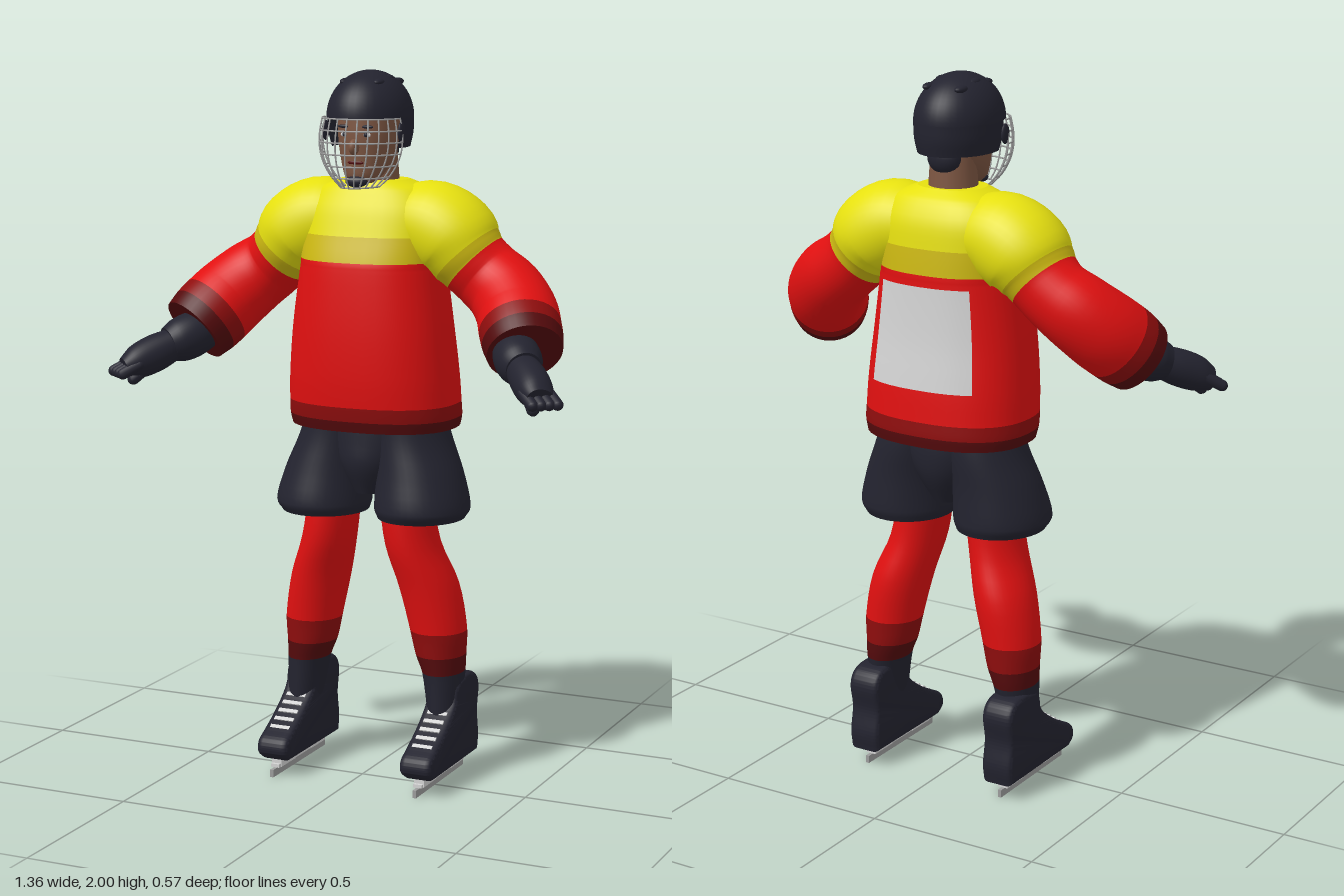
import * as THREE from 'three';
import { mergeVertices, toCreasedNormals } from 'three/addons/utils/BufferGeometryUtils.js';

const V = (x, y, z) => new THREE.Vector3(x, y, z);

function makeMaterials() {
  const colors = {
    red: 0xe01010, darkRed: 0x8e0d0d, maroon: 0x540a0c, yellow: 0xe6e010, gold: 0xcdb912,
    navyBlack: 0x23232f, white: 0xd4d4d4, skin: 0x7d5642, steel: 0x9c9c9c,
  };
  const mats = {};
  for (const [name, color] of Object.entries(colors)) {
    mats[name] = new THREE.MeshStandardMaterial({ color, side: THREE.DoubleSide });
    mats[name].name = name;
  }
  return mats;
}

// Skins elliptical sections [x, y, z, ru, rv]; one material per segment (null leaves it out).
// minSin keeps only the part of each ring towards the back.
function loft(name, sections, segMats, { level = true, power = 2, minSin = -2, caps = true } = {}) {
  const N = 40, S = 4, rows = (sections.length - 1) * S;
  const path = new THREE.CatmullRomCurve3(sections.map(s => V(s[0], s[1], s[2])));
  const size = new THREE.CatmullRomCurve3(sections.map(s => V(s[3], s[4], 0)), false, 'catmullrom', 0.5);
  const pos = [], index = [], geo = new THREE.BufferGeometry(), mats = [];
  const bend = c => Math.sign(c) * Math.abs(c) ** (2 / power);
  for (let i = 0; i <= rows; i++) {
    const c = path.getPoint(i / rows), r = size.getPoint(i / rows);
    const d = level ? V(0, 1, 0) : path.getTangent(i / rows);
    const u = level ? V(1, 0, 0) : d.clone().cross(V(0, 0, 1)).normalize();
    const v = d.clone().cross(u);
    for (let j = 0; j < N; j++) {
      const a = (j / N) * Math.PI * 2;
      const p = c.clone().addScaledVector(u, r.x * bend(Math.cos(a))).addScaledVector(v, r.y * bend(Math.sin(a)));
      pos.push(p.x, p.y, p.z);
    }
  }
  const group = (mat, build) => {
    const start = index.length;
    build();
    geo.addGroup(start, index.length - start, mats.length);
    mats.push(mat);
  };
  segMats.forEach((mat, k) => mat && group(mat, () => {
    for (let i = k * S; i < (k + 1) * S; i++) for (let j = 0; j < N; j++) {
      if (Math.sin(((j + 0.5) / N) * Math.PI * 2) < minSin) continue;
      const n = (j + 1) % N, a = i * N + j, b = i * N + n, c = a + N, d = b + N;
      index.push(a, b, c, b, d, c);
    }
  }));
  if (caps) for (const end of [0, 1]) group(segMats[end ? segMats.length - 1 : 0], () => {
    // separate rim vertices keep the cap edge sharp
    const base = pos.length / 3, row = end ? rows * N : 0, s = sections[end ? sections.length - 1 : 0];
    for (let k = 0; k < N * 3; k++) pos.push(pos[row * 3 + k]);
    pos.push(s[0], s[1], s[2]);
    for (let j = 0; j < N; j++) {
      const a = base + j, b = base + (j + 1) % N;
      index.push(base + N, end ? a : b, end ? b : a);
    }
  });
  geo.setAttribute('position', new THREE.Float32BufferAttribute(pos, 3));
  geo.setIndex(index);
  geo.computeVertexNormals();
  const mesh = new THREE.Mesh(geo, mats);
  mesh.name = name;
  return mesh;
}

function part(name, geo, mat, x = 0, y = 0, z = 0) {
  const mesh = new THREE.Mesh(geo, mat);
  mesh.name = name;
  mesh.position.set(x, y, z);
  return mesh;
}

function ball(name, mat, x, y, z, rx, ry, rz) {
  return part(name, new THREE.SphereGeometry(1, 20, 14).scale(rx, ry, rz), mat, x, y, z);
}

function capsule(name, mat, a, b, r) {
  const d = b.clone().sub(a), mid = a.clone().add(b).multiplyScalar(0.5);
  const mesh = part(name, new THREE.CapsuleGeometry(r, d.length(), 5, 10), mat, mid.x, mid.y, mid.z);
  mesh.quaternion.setFromUnitVectors(V(0, 1, 0), d.normalize());
  return mesh;
}

function makeTorso(m) {
  const g = new THREE.Group();
  g.name = 'jersey';
  // y, half width, front z, back z
  const rows = [[1.01, .238, .085, -.275], [1.04, .244, .092, -.278], [1.08, .243, .098, -.276], [1.17, .238, .105, -.27],
    [1.3, .225, .105, -.255], [1.45, .205, .095, -.247], [1.48, .203, .09, -.246], [1.55, .205, .065, -.24],
    [1.62, .2, .04, -.23], [1.675, .16, .01, -.2], [1.7, .095, -.01, -.165]];
  const sections = grow => rows.map(([y, w, f, b]) => [0, y, (f + b) / 2, w + grow, (f - b) / 2 + grow]);
  g.add(loft('jerseyBody', sections(0), [m.maroon, m.darkRed, m.red, m.red, m.red, m.red, m.gold, m.yellow, m.yellow, m.yellow], { power: 2.4 }));
  g.add(loft('backPanel', sections(.007), [null, null, null, m.white, m.white], { power: 2.4, minSin: .8, caps: false }));
  return g;
}

function makeArm(m, s) {
  const g = new THREE.Group(), mir = list => list.map(([x, ...r]) => [x * s, ...r]);
  g.name = s > 0 ? 'leftArm' : 'rightArm';
  g.add(loft('sleeve', mir([[.08, 1.58, -.1, .1, .11], [.165, 1.575, -.1, .125, .13], [.235, 1.54, -.1, .125, .135],
    [.272, 1.5, -.1, .108, .12], [.295, 1.475, -.102, .1, .108], [.335, 1.44, -.104, .1, .1], [.39, 1.4, -.09, .107, .105],
    [.44, 1.35, -.05, .112, .112], [.465, 1.315, -.01, .113, .113], [.484, 1.288, .02, .111, .111], [.502, 1.262, .048, .104, .104]]),
  [m.yellow, m.yellow, m.yellow, m.gold, m.red, m.red, m.red, m.red, m.darkRed, m.maroon], { level: false }));
  // glove: padded cuff, hand, fingers and thumb
  g.add(loft('gloveCuff', mir([[.46, 1.28, .03, .055, .055], [.49, 1.255, .08, .064, .064], [.515, 1.24, .115, .062, .062],
    [.535, 1.23, .14, .05, .05]]), [m.navyBlack, m.navyBlack, m.navyBlack], { level: false }));
  g.add(loft('gloveHand', mir([[.525, 1.232, .13, .045, .045], [.56, 1.21, .17, .052, .05], [.595, 1.188, .212, .048, .05],
    [.622, 1.172, .24, .03, .042]]), [m.navyBlack, m.navyBlack, m.navyBlack], { level: false }));
  for (let i = 0; i < 4; i++) {
    const k = (i - 1.5) * .023;
    g.add(capsule('gloveFinger', m.navyBlack, V(s * (.6 + k * .78), 1.185, .22 - k * .62), V(s * (.637 + k * .78), 1.16, .25 - k * .62), .016));
  }
  g.add(capsule('gloveThumb', m.navyBlack, V(s * .56, 1.185, .19), V(s * .598, 1.142, .235), .017));
  return g;
}

function makeLeg(m, s) {
  const g = new THREE.Group(), mir = list => list.map(([x, ...r]) => [x * s, ...r]);
  g.name = s > 0 ? 'leftLeg' : 'rightLeg';
  g.add(loft('sock', mir([[.22, .18, -.085, .044, .068], [.211, .31, -.095, .058, .08], [.202, .36, -.095, .07, .084],
    [.195, .43, -.093, .08, .088], [.168, .56, -.085, .083, .1], [.13, .68, -.06, .074, .1], [.108, .82, -.055, .07, .1]]),
  [m.navyBlack, m.maroon, m.darkRed, m.red, m.red, m.red]));
  g.add(loft('shortsLeg', mir([[.148, .755, -.075, .122, .134], [.152, .785, -.073, .134, .146], [.14, .88, -.082, .122, .134],
    [.117, .97, -.092, .108, .126], [.1, 1.05, -.092, .1, .12]]), Array(4).fill(m.navyBlack)));

  // skate boot
  const x = .222 * s, shape = new THREE.Shape();
  shape.moveTo(-.205, .06);
  shape.lineTo(.105, .06);
  shape.splineThru([[.125, .075], [.12, .098], [.09, .115], [.03, .148], [-.03, .19], [-.062, .225], [-.075, .268], [-.12, .28],
    [-.185, .275], [-.21, .24], [-.2, .17], [-.21, .1], [-.205, .06]].map(p => new THREE.Vector2(...p)));
  let boot = new THREE.ExtrudeGeometry(shape, { depth: .06, bevelSize: .014, bevelThickness: .018, bevelSegments: 4, curveSegments: 30 });
  boot.translate(0, 0, -.03).rotateY(-Math.PI / 2);
  boot.deleteAttribute('uv');
  boot.deleteAttribute('normal');
  boot = toCreasedNormals(mergeVertices(boot, 1e-4), .8);
  g.add(part('skateBoot', boot, m.navyBlack, x));
  for (let i = 0; i < 5; i++) {
    const lace = part('lace', new THREE.BoxGeometry(.06, .006, .012), m.white, x, .133 + i * .017, .082 - i * .0265);
    lace.rotation.x = .6;
    g.add(lace);
  }
  // blade holder on two posts with the runner below
  g.add(part('bladeHolder', new THREE.BoxGeometry(.026, .01, .3), m.white, x, .028, -.035));
  for (const z of [-.14, .06]) g.add(part('bladePost', new THREE.BoxGeometry(.03, .03, .09), m.white, x, .038, z));
  g.add(part('bladeRunner', new THREE.BoxGeometry(.01, .022, .34), m.steel, x, .011, -.033));
  return g;
}

function makeHead(m) {
  const g = new THREE.Group();
  g.name = 'head';
  g.add(part('neck', new THREE.CylinderGeometry(.06, .07, .14, 24), m.skin, 0, 1.735, -.085));
  g.add(loft('face', [[0, 1.695, 0, .03, .035], [0, 1.715, -.01, .052, .058], [0, 1.76, -.035, .072, .084],
    [0, 1.82, -.045, .083, .098], [0, 1.89, -.05, .085, .1]], Array(4).fill(m.skin)));
  g.add(ball('nose', m.skin, 0, 1.795, .055, .014, .022, .022));
  g.add(ball('mouth', m.maroon, 0, 1.752, .045, .024, .006, .005));
  for (const s of [-1, 1]) {
    g.add(ball('eye', m.white, s * .032, 1.828, .044, .013, .007, .005));
    g.add(ball('pupil', m.navyBlack, s * .032, 1.828, .048, .006, .006, .004));
    g.add(ball('eyebrow', m.navyBlack, s * .034, 1.85, .045, .019, .005, .005));
  }
  g.add(ball('hair', m.navyBlack, 0, 1.78, -.13, .05, .045, .035));

  // helmet: dome, back and ear guard, raised vents, side clips
  const dome = new THREE.SphereGeometry(1, 40, 16, 0, Math.PI * 2, 0, Math.PI / 2).scale(.115, .128, .147);
  g.add(part('helmetDome', dome, m.navyBlack, 0, 1.872, -.052));
  g.add(loft('helmetGuard', [[0, 1.79, -.055, .104, .133], [0, 1.83, -.053, .113, .144], [0, 1.874, -.052, .115, .147]],
    [m.navyBlack, m.navyBlack], { minSin: -.3, caps: false }));
  for (const s of [-1, 1]) {
    for (const z of [-.125, -.06, .0]) g.add(ball('helmetVent', m.navyBlack, s * .05, 1.978 - Math.abs(z + .055) * .17, z, .014, .01, .026));
    g.add(ball('cageClip', m.navyBlack, s * .114, 1.835, -.005, .008, .028, .018));
  }

  // wire cage: y, half width, depth
  const cage = new THREE.Group();
  cage.name = 'faceCage';
  const rows = [[1.872, .113, .1], [1.84, .119, .108], [1.808, .12, .114], [1.776, .115, .115], [1.744, .102, .112],
    [1.712, .08, .104], [1.685, .052, .088]];
  const at = ([y, w, d], a) => V(w * Math.sin(a), y, d * Math.cos(a));
  const wire = pts => cage.add(part('cageWire', new THREE.TubeGeometry(new THREE.CatmullRomCurve3(pts), 24, .0024, 5), m.steel));
  const angles = Array.from({ length: 13 }, (_, i) => (i / 6 - 1) * Math.PI / 2);
  rows.forEach(r => wire(angles.map(a => at(r, a))));
  angles.forEach(a => wire(rows.map(r => at(r, a))));
  g.add(cage);
  g.add(ball('chinCup', m.navyBlack, 0, 1.7, .04, .032, .016, .02));
  return g;
}

export function createModel() {
  const m = makeMaterials(), model = new THREE.Group();
  model.name = 'hockeyPlayer';
  model.add(makeTorso(m), makeHead(m));
  model.add(loft('shortsSeat', [[0, .82, -.08, .05, .08], [0, .9, -.085, .1, .12], [0, .97, -.092, .14, .126],
    [0, 1.05, -.092, .17, .12]], Array(3).fill(m.navyBlack)));
  for (const s of [-1, 1]) model.add(makeArm(m, s), makeLeg(m, s));
  return model;
}
